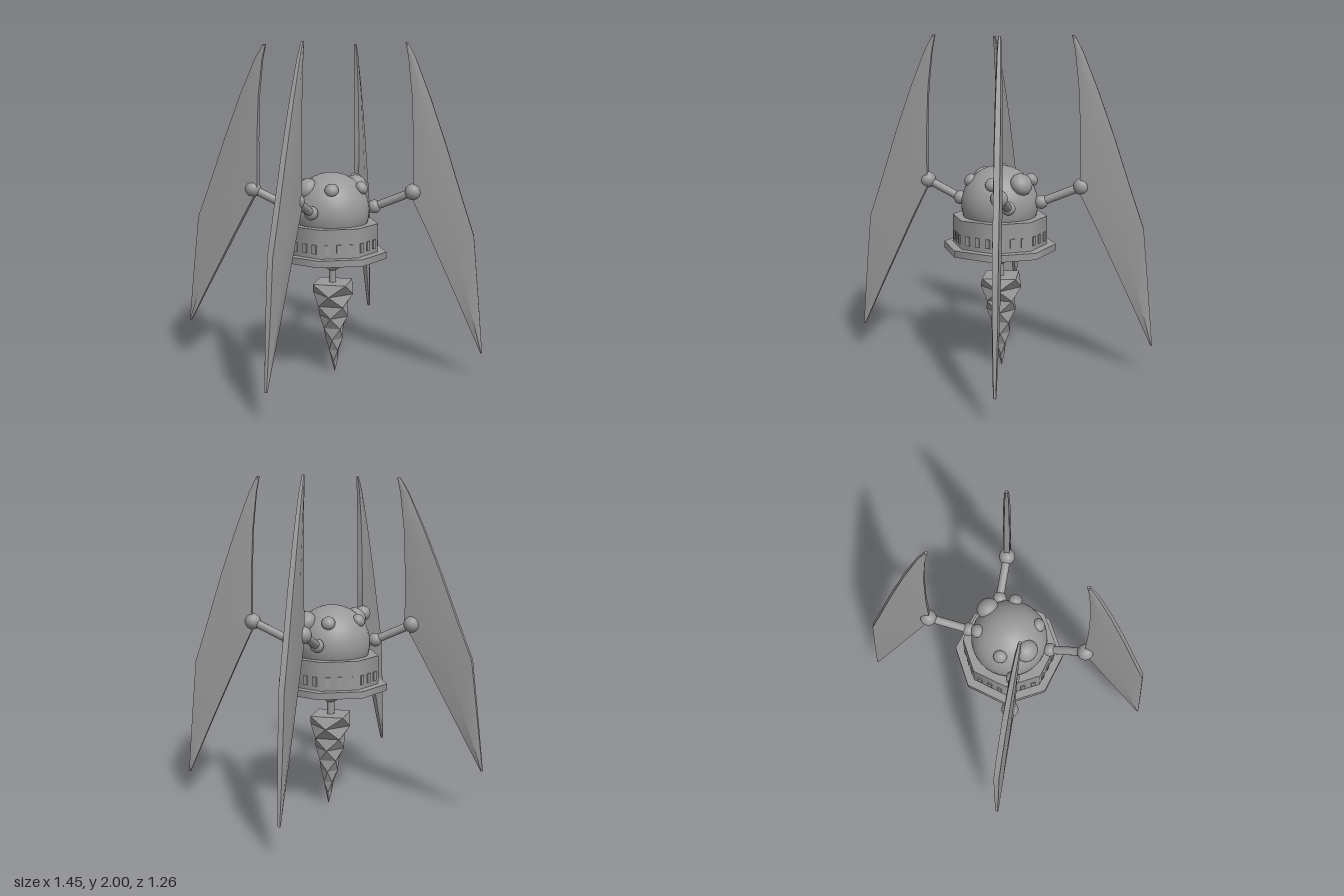
import * as THREE from 'three';
import { toCreasedNormals } from 'three/addons/utils/BufferGeometryUtils.js';

const CX = 0.019, CZ = 0.034; // axis of the central body
const UP = new THREE.Vector3(0, 1, 0);
const V = (x, y, z) => new THREE.Vector3(x, y, z);

const grey = new THREE.MeshStandardMaterial({ color: 0x999999 });
const faceted = new THREE.MeshStandardMaterial({ color: 0x999999, flatShading: true });

function add(parent, name, geometry, position, material = grey) {
  const mesh = new THREE.Mesh(geometry, material);
  mesh.name = name;
  mesh.position.copy(position);
  parent.add(mesh);
  return mesh;
}

const ball = (parent, name, r, p) => add(parent, name, new THREE.SphereGeometry(r, 16, 12), p);

// Cylinder between two points
function rod(parent, name, a, b, r) {
  const dir = b.clone().sub(a);
  const mesh = add(parent, name, new THREE.CylinderGeometry(r, r, dir.length(), 12), a.clone().lerp(b, 0.5));
  mesh.quaternion.setFromUnitVectors(UP, dir.normalize());
  return mesh;
}

// Blade profile rows: drop from top to bottom, inner edge, outer edge, half thickness
const BLADE = [
  [0, -0.01, 0.02, 0.008],
  [0.05, 0.03, 0.12, 0.014],
  [0.17, 0.08, 0.3, 0.02],
  [0.32, 0.105, 0.5, 0.024],
  [0.5, 0.11, 0.72, 0.025],
  [0.61, 0.31, 0.86, 0.025],
  [0.8, 0.64, 0.93, 0.021],
  [1, 0.98, 1, 0.009],
];

// Upright blade with a blunt hexagonal section from its top to its bottom tip, bowed sideways by bend
function bladeGeometry(top, bottom, bend) {
  const d = bottom.clone().sub(top).setY(0);
  const n = d.clone().normalize().cross(UP);
  const pos = [], idx = [];
  for (const [t, inner, outer, h] of BLADE) {
    const mid = (inner + outer) / 2, e = h * 0.65;
    const ring = [[inner, e], [mid, h], [outer, e], [outer, -e], [mid, -h], [inner, -e]];
    for (const [u, w] of ring) {
      const p = top.clone().addScaledVector(d, u).addScaledVector(n, w + bend * Math.sin(Math.PI * t));
      pos.push(p.x, THREE.MathUtils.lerp(top.y, bottom.y, t), p.z);
    }
  }
  for (let i = 0; i < BLADE.length - 1; i++) {
    for (let j = 0; j < 6; j++) {
      const a = i * 6 + j, b = i * 6 + (j + 1) % 6;
      idx.push(a, a + 6, b, b, a + 6, b + 6);
    }
  }
  const last = (BLADE.length - 1) * 6;
  for (let k = 1; k < 5; k++) idx.push(0, k, k + 1, last, last + k + 1, last + k);
  const g = new THREE.BufferGeometry();
  g.setAttribute('position', new THREE.Float32BufferAttribute(pos, 3));
  g.setIndex(idx);
  return toCreasedNormals(g, 0.5);
}

// Square cone pointing down, twisted one full turn
function drillGeometry(radius, height) {
  const g = new THREE.CylinderGeometry(radius, 0.001, height, 4, 8);
  const p = g.attributes.position, v = V(0, 0, 0);
  for (let i = 0; i < p.count; i++) {
    v.fromBufferAttribute(p, i);
    const t = 0.5 - v.y / height;
    v.applyAxisAngle(UP, t * Math.PI * 2);
    p.setXYZ(i, v.x + 0.013 * t, v.y, v.z + 0.005 * t);
  }
  return g;
}

export function createModel() {
  const root = new THREE.Group();
  root.name = 'flyingMachine';

  // Octagonal body with softly shaded sides
  add(root, 'basePlate', new THREE.CylinderGeometry(0.338, 0.338, 0.04, 8), V(CX, 0.75, CZ));
  add(root, 'drum', new THREE.CylinderGeometry(0.285, 0.285, 0.17, 8), V(CX, 0.855, CZ));

  // Three small windows on each drum face
  const windows = new THREE.Group();
  windows.name = 'windows';
  root.add(windows);
  const apothem = 0.285 * Math.cos(Math.PI / 8);
  for (let f = 0; f < 8; f++) {
    const a = (f + 0.5) * Math.PI / 4;
    for (let k = -1; k <= 1; k++) {
      const s = k * 0.067;
      const w = add(windows, 'window', new THREE.BoxGeometry(0.028, 0.054, 0.014),
        V(CX + apothem * Math.sin(a) + s * Math.cos(a), 0.823, CZ + apothem * Math.cos(a) - s * Math.sin(a)));
      w.rotation.y = a;
    }
  }

  // Dome with flattened bumps
  const domeCentre = V(CX, 1.01, CZ);
  add(root, 'dome', new THREE.SphereGeometry(0.23, 32, 20), domeCentre);
  const bump = (name, r, offset) => {
    const m = ball(root, name, r, domeCentre.clone().add(offset));
    m.quaternion.setFromUnitVectors(UP, offset.clone().normalize());
    m.position.x += 0.013;
    m.scale.y = 0.8;
  };
  for (const sx of [-1, 1]) {
    bump('largeBump', 0.068, V(sx * 0.178, 0.14, -0.008));
    for (const sz of [-1, 1]) bump('smallBump', 0.041, V(sx * 0.105, 0.145, sz * 0.15));
  }

  // Four arms, each carrying a blade
  const arms = [
    { hub: V(0.25, 1.03, 0.155), joint: V(0.397, 1.13, 0.34), top: V(0.36, 2, 0.305), tip: V(0.72, 0.16, 0.625), bend: 0 },
    { hub: V(0.217, 1.03, -0.12), joint: V(0.397, 1.13, -0.275), top: V(0.36, 2, -0.225), tip: V(0.72, 0.18, -0.57), bend: 0 },
    { hub: V(-0.2, 1.03, 0.165), joint: V(-0.37, 1.13, 0.285), top: V(-0.31, 2, 0.265), tip: V(-0.72, 0.18, 0.56), bend: 0 },
    { hub: V(-0.19, 1.03, -0.12), joint: V(-0.345, 1.13, -0.275), top: V(-0.305, 1.99, -0.18), tip: V(-0.625, 0.27, -0.625), bend: 0.015 },
  ];
  for (const { hub, joint, top, tip, bend } of arms) {
    const arm = new THREE.Group();
    arm.name = 'wingArm';
    root.add(arm);
    ball(arm, 'innerJoint', 0.041, hub);
    rod(arm, 'armRod', hub, joint, 0.025);
    ball(arm, 'outerJoint', 0.049, joint);
    add(arm, 'wingBlade', bladeGeometry(top, tip, bend), V(0, 0, 0));
  }

  // Drill hanging from a ball under the plate
  ball(root, 'drillBall', 0.055, V(0.027, 0.695, 0.038));
  rod(root, 'drillRod', V(0.027, 0.7, 0.036), V(0.029, 0.55, 0.036), 0.022);
  add(root, 'drill', drillGeometry(0.142, 0.57), V(0.03, 0.285, 0.035), faceted);

  return root;
}
